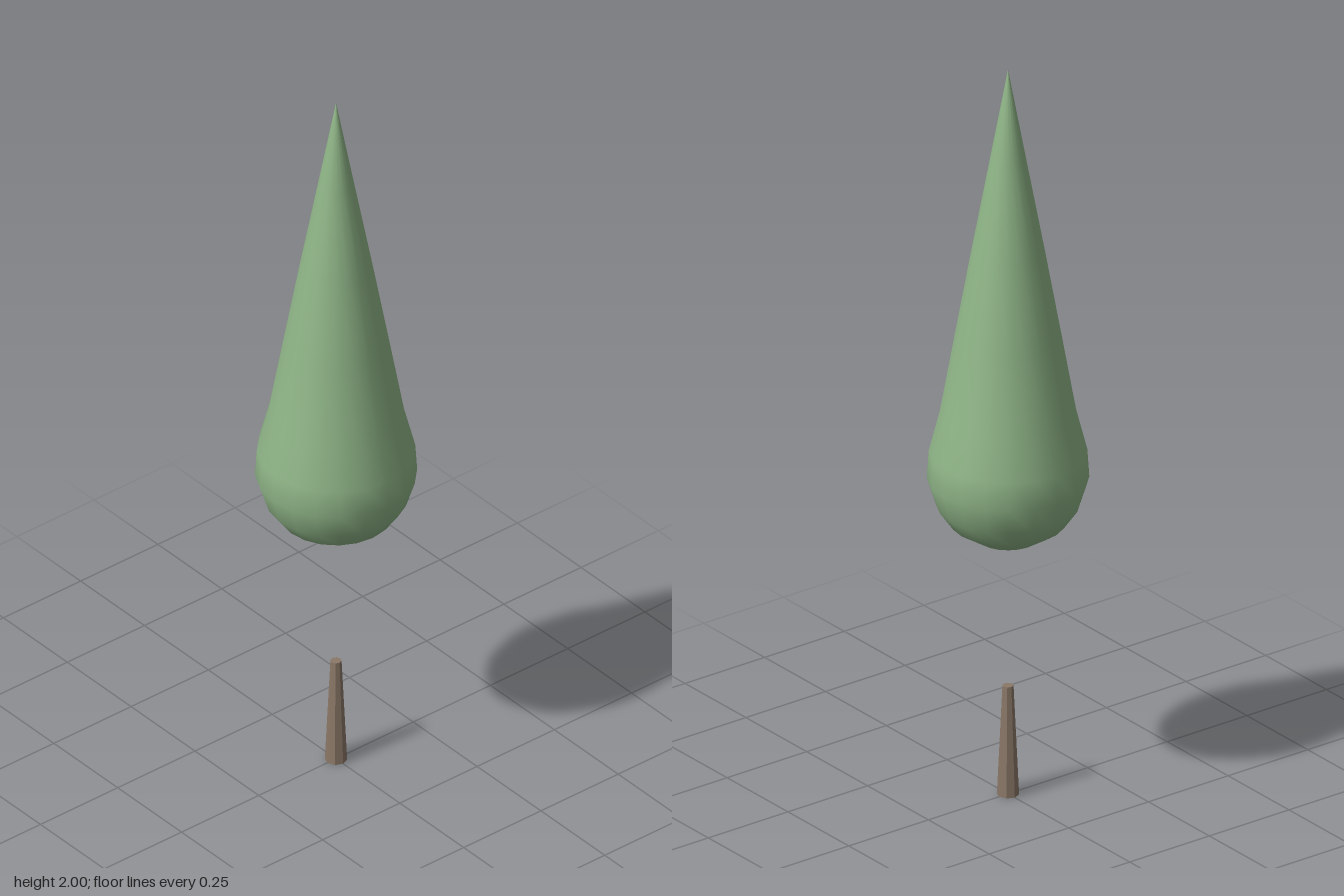
import * as THREE from 'three';

export function createModel() {
  const tree = new THREE.Group();
  tree.name = 'tree';

  // Teardrop crown: rounded base drawn up into a long point
  const profile = [
    [0, 0.694], [0.08, 0.71], [0.145, 0.752], [0.18, 0.802], [0.203, 0.875],
    [0.198, 0.95], [0.17, 1.06], [0.133, 1.27], [0.092, 1.5], [0.045, 1.755], [0, 2],
  ].map(([r, y]) => new THREE.Vector2(r, y));
  const crown = new THREE.Mesh(
    new THREE.LatheGeometry(profile, 20),
    new THREE.MeshStandardMaterial({ color: 0x8fb587 }),
  );
  crown.name = 'crown';
  tree.add(crown);

  // Short tapered trunk, separate from the floating crown
  const height = 0.3;
  const trunk = new THREE.Mesh(
    new THREE.CylinderGeometry(0.014, 0.028, height, 8),
    new THREE.MeshStandardMaterial({ color: 0x8b7868, flatShading: true }),
  );
  trunk.name = 'trunk';
  trunk.position.y = height / 2;
  tree.add(trunk);

  return tree;
}
